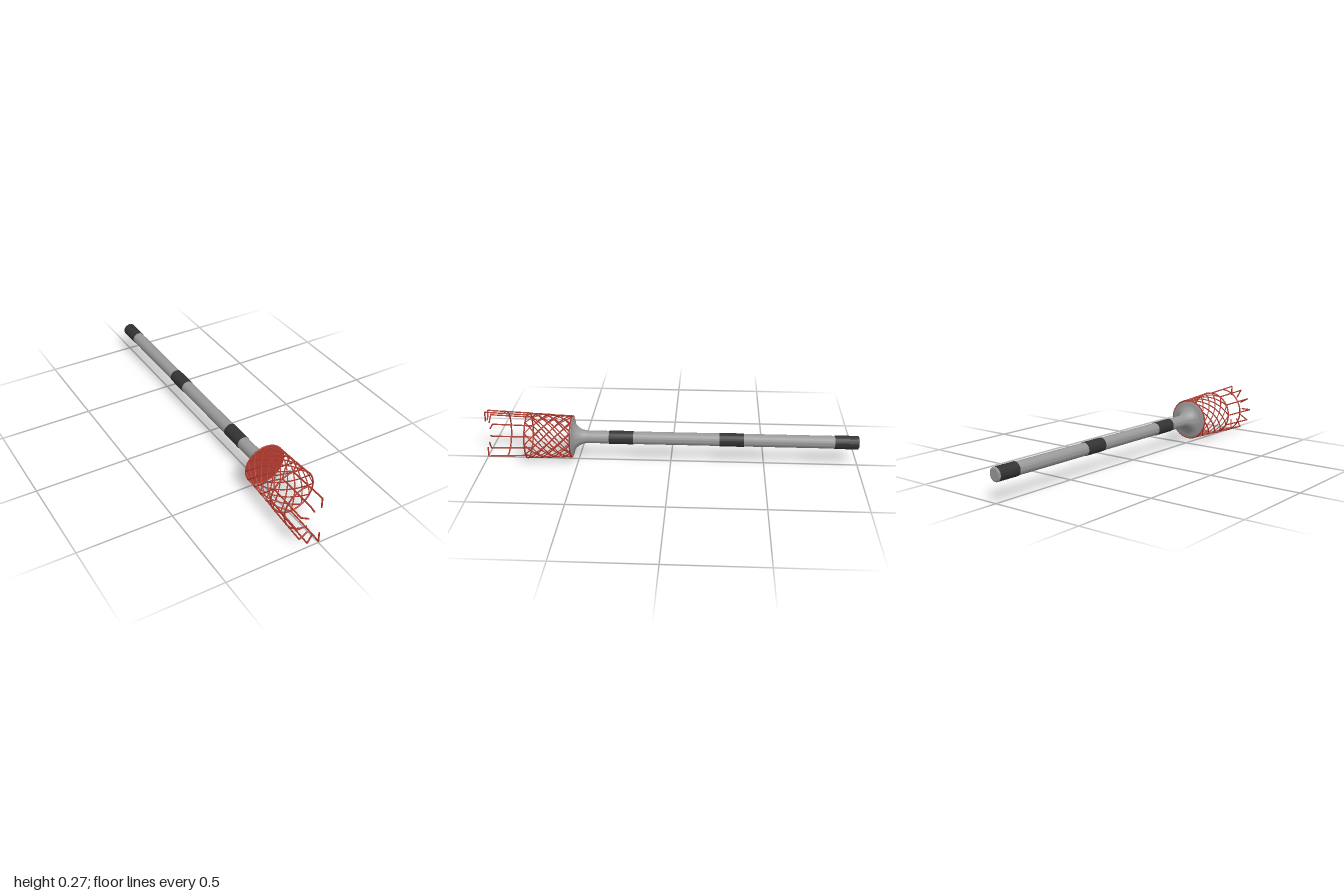
import * as THREE from 'three';
import { toCreasedNormals } from 'three/addons/utils/BufferGeometryUtils.js';

export function createModel() {
  const model = new THREE.Group();
  model.name = 'pickingPole';
  const mat = (color) => new THREE.MeshStandardMaterial({ color, side: THREE.DoubleSide });
  const grey = mat(0x999999), dark = mat(0x333333), red = mat(0xb03a2e);

  // Everything is built around the z axis, then the group is shifted.
  const add = (name, geometry, material) => {
    const mesh = new THREE.Mesh(geometry, material);
    mesh.name = name;
    model.add(mesh);
    return mesh;
  };
  // Profile of [radius, z] pairs turned around the z axis
  const turned = (profile, start = 0, length = Math.PI * 2, segments = 40) =>
    toCreasedNormals(
      new THREE.LatheGeometry(profile.map(([r, z]) => new THREE.Vector2(r, z)), segments, start, length)
        .rotateX(Math.PI / 2), 0.6);
  const polar = (r, a, z) => new THREE.Vector3(r * Math.cos(a), r * Math.sin(a), z);
  const WIRE = 0.004;
  const bar = (name, a, b) => {
    const mesh = add(name, new THREE.CylinderGeometry(WIRE, WIRE, a.distanceTo(b), 8), red);
    mesh.position.copy(a).lerp(b, 0.5);
    mesh.quaternion.setFromUnitVectors(new THREE.Vector3(0, 1, 0), b.clone().sub(a).normalize());
  };

  // Pole widening into a trumpet-shaped socket
  const R = 0.034;
  const profile = [[R, -0.94], [R, 0.44]];
  for (let i = 1; i <= 12; i++) {
    const t = (i / 12) * Math.PI / 2;
    profile.push([R + 0.068 * (1 - Math.cos(t)), 0.44 + 0.083 * Math.sin(t)]);
  }
  profile.push([0.106, 0.525], [0.106, 0.532]);
  add('pole', turned(profile), grey);
  add('basketFloor', new THREE.CircleGeometry(0.108, 48).translate(0, 0, 0.533), red);

  // Grip sleeves
  const G = 0.036;
  for (const [a, b] of [[-0.39, -0.26], [0.2, 0.33]])
    add('sleeve', turned([[R, a], [G, a], [G, b], [R, b]]), dark);

  // End grip with a hanging slot passing through it vertically
  const z0 = -0.985, z1 = -0.945, gap = 0.16, half = G * Math.sin(gap);
  add('endGripTip', turned([[G, -0.994], [G, z0]]), dark);
  add('endGrip', turned([[G, z1], [G, -0.87], [R, -0.87]]), dark);
  for (const start of [gap, Math.PI + gap])
    add('endGripSide', turned([[G, z0], [G, z1]], start, Math.PI - 2 * gap, 20), dark);
  for (const s of [-1, 1])
    add('slotWall', new THREE.BoxGeometry(0.001, 0.07, z1 - z0).translate(s * half, 0, (z0 + z1) / 2), dark);
  for (const z of [z0, z1])
    add('slotEnd', new THREE.BoxGeometry(half * 2, 0.07, 0.001).translate(0, 0, z), dark);
  add('endCap', turned([[0, -1], [0.028, -1], [G, -0.994]]), grey);

  // Basket rims
  const back = 0.53, front = 0.768, rBack = 0.11, rFront = 0.121;
  for (const [r, z] of [[rBack, back], [rFront, front]])
    add('basketRim', new THREE.TorusGeometry(r, WIRE, 8, 64).translate(0, 0, z), red);

  // Basket lattice: wires wound in both directions
  const count = 12, twist = Math.PI * 2 / 3;
  for (const dir of [-1, 1]) {
    for (let i = 0; i < count; i++) {
      const pts = [];
      for (let k = 0; k <= 12; k++) {
        const t = k / 12;
        pts.push(polar(THREE.MathUtils.lerp(rBack, rFront, t),
          i * Math.PI * 2 / count + dir * twist * t, THREE.MathUtils.lerp(back, front, t)));
      }
      add('latticeWire', new THREE.TubeGeometry(new THREE.CatmullRomCurve3(pts), 28, 0.0033, 6), red);
    }
  }

  // Prongs on one half, with tips bent inward
  for (let i = 0; i <= 6; i++) {
    const a = Math.PI / 2 + i * Math.PI / 6;
    const corner = polar(0.131, a, 0.996);
    bar('prong', polar(rFront, a, front), corner);
    bar('prongTip', corner, polar(0.077, a, 0.996));
    add('prongCorner', new THREE.SphereGeometry(WIRE, 8, 6).translate(corner.x, corner.y, corner.z), red);
  }
  // Half hoop tying the prongs together
  add('prongHoop', new THREE.TorusGeometry(0.126, WIRE, 8, 40, Math.PI)
    .rotateZ(Math.PI / 2).translate(0, 0, 0.89), red);

  model.position.set(0.004, 0.136, 0);
  const root = new THREE.Group();
  root.name = 'fruitPicker';
  root.add(model);
  return root;
}
